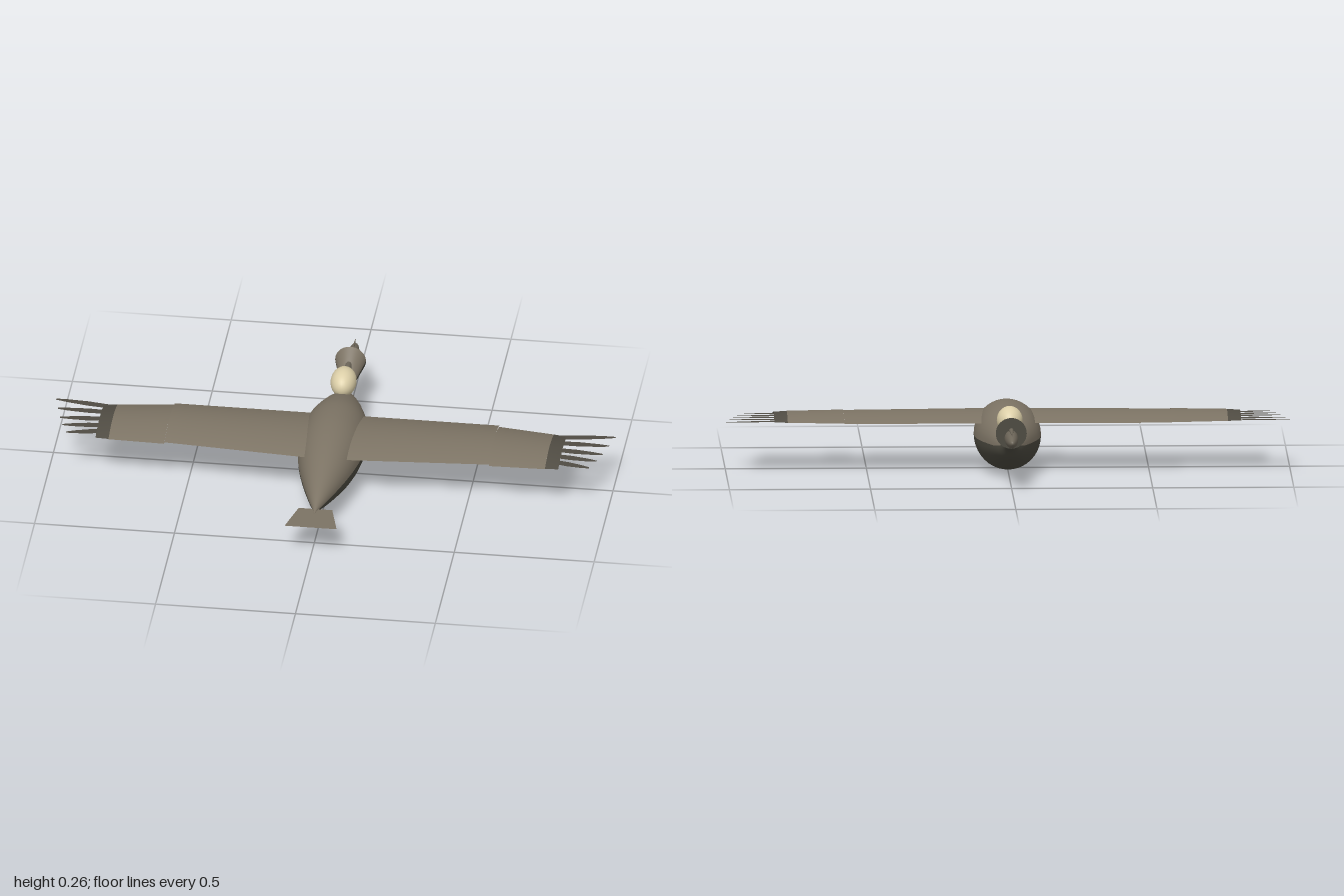
import * as THREE from 'three';

const mat = (name, color, extra = {}) => {
  const m = new THREE.MeshStandardMaterial({ color, ...extra });
  m.name = name;
  return m;
};

export function createModel() {
  const model = new THREE.Group();
  model.name = 'soaringBird';
  const open = { side: THREE.DoubleSide };
  const plumage = mat('brown plumage', 0x7c7364, open);
  const belly = mat('dark belly', 0x4c4a40, open);
  const quill = mat('dark quill', 0x504c43, open);
  const skin = mat('grey brown skin', 0x6e675a);
  const cream = mat('cream ruff', 0xdccfa8);

  const add = (name, geo, material, parent = model) => {
    const mesh = new THREE.Mesh(geo, material);
    mesh.name = name;
    parent.add(mesh);
    return mesh;
  };

  // Indexed surface from a point rule over a grid
  const surface = (rows, cols, at) => {
    const pos = [], idx = [];
    for (let i = 0; i <= rows; i++) {
      for (let j = 0; j <= cols; j++) {
        pos.push(...at(i / rows, j / cols));
        if (i < rows && j < cols) {
          const a = i * (cols + 1) + j, c = a + cols + 1;
          idx.push(a, c, a + 1, a + 1, c, c + 1);
        }
      }
    }
    const geo = new THREE.BufferGeometry();
    geo.setAttribute('position', new THREE.Float32BufferAttribute(pos, 3));
    geo.setIndex(idx);
    geo.computeVertexNormals();
    return geo;
  };

  // Body: round sections [radius, centre height, z], flared and raised at the head end
  const spine = new THREE.CatmullRomCurve3([
    [0.001, 0.123, 0.53], [0.005, 0.123, 0.49], [0.036, 0.123, 0.4], [0.068, 0.123, 0.3],
    [0.095, 0.123, 0.2], [0.113, 0.123, 0.1], [0.119, 0.123, 0.01], [0.111, 0.123, -0.1],
    [0.082, 0.123, -0.2], [0.05, 0.124, -0.275], [0.023, 0.134, -0.315], [0.018, 0.147, -0.345],
    [0.037, 0.172, -0.402], [0.055, 0.195, -0.458],
  ].map(p => new THREE.Vector3(...p)));
  const halfBody = start => surface(72, 20, (u, v) => {
    const p = spine.getPoint(u), a = start + v * Math.PI;
    return [Math.cos(a) * p.x, p.y + Math.sin(a) * p.x, p.z];
  });
  add('upperBody', halfBody(0), plumage);
  add('lowerBody', halfBody(Math.PI), belly);
  const collar = add('collarEnd', new THREE.CircleGeometry(0.055, 32), belly);
  collar.rotation.y = Math.PI;
  collar.position.set(0, 0.195, -0.458);

  // Ruff, head and tapering beak
  const ball = (name, material, radii, centre) => {
    const m = add(name, new THREE.SphereGeometry(1, 32, 20), material);
    m.scale.set(...radii);
    m.position.set(...centre);
  };
  ball('ruff', cream, [0.046, 0.05, 0.067], [0, 0.215, -0.274]);
  ball('head', skin, [0.024, 0.028, 0.125], [0, 0.178, -0.475]);
  const beak = add('beak', new THREE.CylinderGeometry(0.001, 0.017, 0.28, 20), skin);
  beak.rotation.x = -Math.PI / 2;
  beak.position.set(0, 0.205, -0.45);

  // Flat polygon in the horizontal plane, points are [x, z]
  const flat = (pts, y) => {
    const geo = new THREE.ShapeGeometry(new THREE.Shape(pts.map(([x, z]) => new THREE.Vector2(x, -z))));
    return geo.rotateX(-Math.PI / 2).translate(0, y, 0);
  };
  add('tail', flat([[-0.06, 0.47], [-0.093, 0.6], [0.093, 0.6], [0.06, 0.47]], 0.125), plumage);

  // Wings: cambered open sheets, ends given as [x, leading z, trailing z, camber]
  const panels = [
    ['innerWing', [0.05, -0.105, 0.208, 0.027], [0.58, -0.105, 0.17, 0.026], plumage],
    ['outerWing', [0.58, -0.096, 0.18, 0.026], [0.78, -0.069, 0.175, 0.021], plumage],
    ['wingTip', [0.78, -0.069, 0.173, 0.021], [0.827, -0.06, 0.17, 0.017], quill],
  ];
  // Finger feathers: [root z, tip x, tip z]
  const feathers = [
    [-0.045, 1.0, -0.073], [-0.007, 0.985, -0.01], [0.04, 0.97, 0.051],
    [0.082, 0.955, 0.1], [0.122, 0.935, 0.15],
  ];
  const lerp = THREE.MathUtils.lerp;
  for (const side of [1, -1]) {
    const wing = new THREE.Group();
    wing.name = side > 0 ? 'leftWing' : 'rightWing';
    model.add(wing);
    for (const [name, a, b, material] of panels) {
      // The span direction is swapped on one side so the upper face stays outward
      const geo = surface(8, 20, (s, v) => {
        const u = side > 0 ? 1 - s : s;
        const z = lerp(lerp(a[1], b[1], u), lerp(a[2], b[2], u), v);
        return [side * lerp(a[0], b[0], u), 0.178 + lerp(a[3], b[3], u) * 4 * v * (1 - v), z];
      });
      // Reverse the triangles so they wind counter-clockwise from above
      const idx = geo.index.array;
      for (let i = 0; i < idx.length; i += 3) [idx[i + 1], idx[i + 2]] = [idx[i + 2], idx[i + 1]];
      geo.computeVertexNormals();
      add(name, geo, material, wing);
    }
    for (const [z0, x1, z1] of feathers) {
      const along = (t, w) => [side * lerp(0.79, x1, t), lerp(z0, z1, t) + w];
      const pts = [
        along(0, -0.013), along(0.45, -0.015), along(0.8, -0.01), along(1, -0.004),
        along(1, 0.004), along(0.8, 0.01), along(0.45, 0.015), along(0, 0.013),
      ];
      add('fingerFeather', flat(pts, 0.181), quill, wing);
    }
  }
  return model;
}
